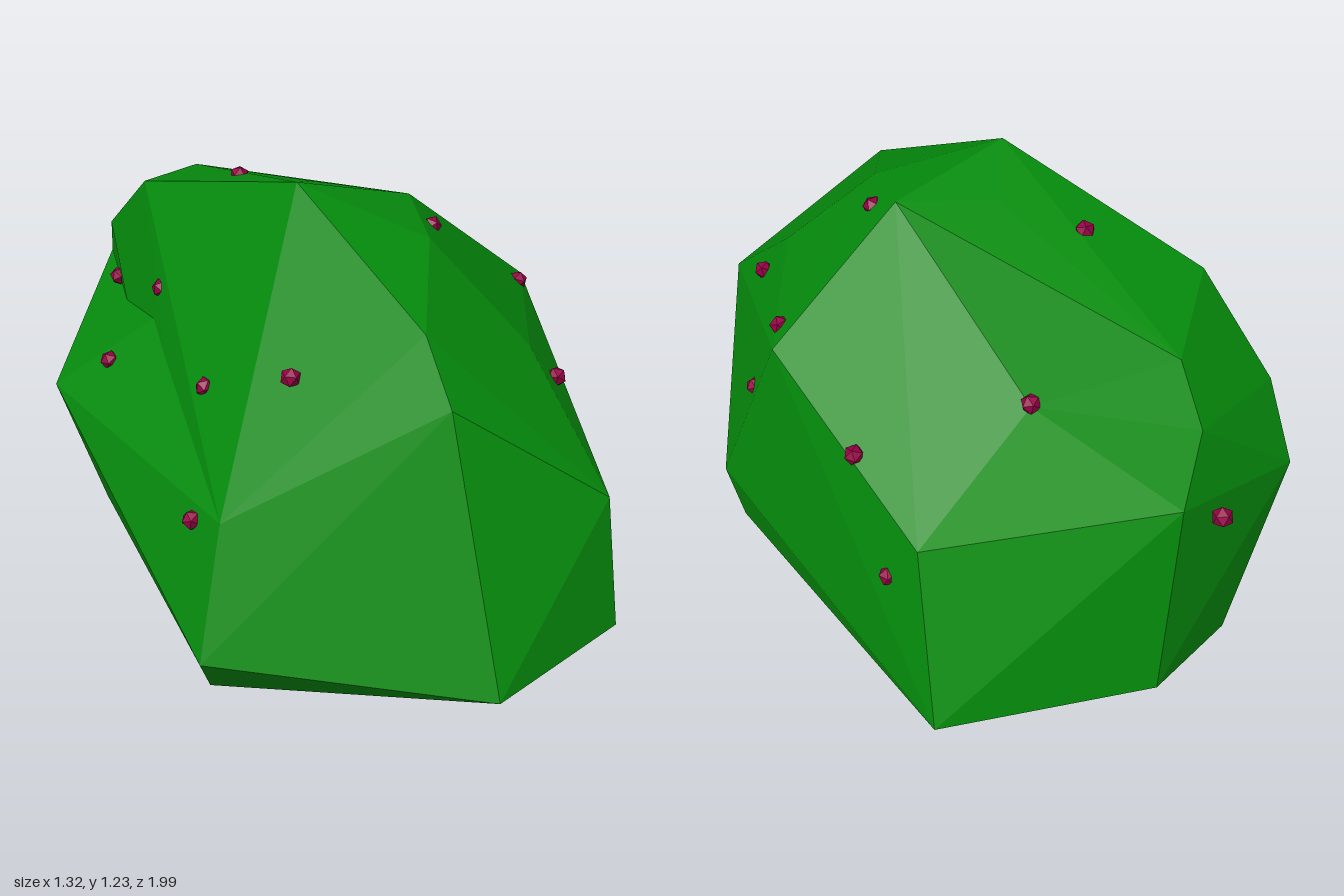
import * as THREE from 'three';
import { ConvexGeometry } from 'three/addons/geometries/ConvexGeometry.js';

const P = (x, y, z) => new THREE.Vector3(x, y, z);

// Corners shared by neighbouring lumps
const apex = P(-0.145, 1.225, 0.08), shoulderTop = P(0.19, 1.145, 0.1), brow = P(0.1, 1.1, 0.32);
const frontRidge = P(-0.14, 0.85, 0.75), frontCorner = P(0.24, 0.58, 0.89), frontCheek = P(0.26, 0.85, 0.54);
const toeRight = P(-0.16, 0.2, 1.0), toeLeft = P(0.24, 0.25, 0.95);
const sideRight = P(-0.56, 0.51, 0.39), footRight = P(-0.66, 0.17, 0.45);
const dentRight = P(-0.38, 0.79, -0.28), backRight = P(-0.21, 0.76, -0.94);
const pocket = P(0.2, 0.83, -0.46), backLeft = P(0.15, 0.8, -0.94), ledge = P(0.58, 0.6, -0.5);
const sideLeft = P(0.64, 0.33, 0.34), footLeft = P(0.59, 0.125, 0.35), heelLeft = P(0.655, 0.16, -0.655);
const ridgeRight = P(-0.27, 1.09, -0.55), napeRight = P(-0.27, 0.9, -0.8), ridgeLeft = P(0, 1.05, -0.75);

// The bush is four overlapping faceted lumps; the dents lie where they meet
const lumps = {
  // tall crown with a steep wall above the pocket
  crown: [
    apex, shoulderTop, brow, frontRidge, frontCorner, frontCheek, toeRight, toeLeft,
    sideRight, footRight, dentRight, backRight, pocket, ridgeRight, napeRight, ridgeLeft,
    P(-0.11, 0.98, 0.6), P(0, 1.165, -0.08),
  ],
  // back of the crown, behind the pocket
  nape: [ridgeLeft, ridgeRight, napeRight, backRight, backLeft, pocket, P(0.06, 0.96, -0.89)],
  // left shoulder in front of the pocket
  shoulder: [
    shoulderTop, brow, frontRidge, frontCorner, frontCheek, toeLeft, pocket, ledge,
    sideLeft, footLeft, heelLeft, P(0.58, 0.85, 0.11),
  ],
  // wide base that tapers to the ground
  base: [
    frontCorner, toeRight, toeLeft, sideRight, footRight, dentRight, backRight, pocket,
    backLeft, ledge, sideLeft, footLeft, heelLeft,
    P(-0.605, 0.555, -0.5), P(-0.46, 0.27, -0.56), P(-0.44, 0.11, -0.57), P(-0.6, 0.05, 0.385),
    P(0.19, 0.47, -0.945), P(0.21, 0.28, -0.967), P(-0.04, 0.31, -0.94),
    P(-0.17, 0, 0.58), P(0.26, 0, -0.51),
  ],
};

// Berry centres on the leaf surface
const berrySpots = [
  P(0.19, 1.085, 0.205), P(0.515, 0.86, 0.177), P(0.33, 0.757, 0.57), P(0.572, 0.655, 0.235),
  P(0.05, 0.75, -0.97), P(-0.1, 1.142, -0.3), P(0.57, 0.72, -0.23), P(0.2, 0.84, -0.46),
  P(0.605, 0.47, -0.41), P(-0.337, 0.835, 0.36), P(-0.437, 0.735, 0.1), P(-0.5, 0.66, -0.35),
  P(-0.58, 0.475, 0.28), P(-0.31, 0.77, -0.68), P(-0.36, 0.865, -0.29), P(-0.08, 0.615, 0.82),
];

export function createModel() {
  const model = new THREE.Group();
  model.name = 'berryBush';

  const leafMaterial = new THREE.MeshStandardMaterial({ color: 0x058a0c, flatShading: true });
  const foliage = new THREE.Group();
  foliage.name = 'foliage';
  for (const [name, corners] of Object.entries(lumps)) {
    const lump = new THREE.Mesh(new ConvexGeometry(corners), leafMaterial);
    lump.name = name;
    foliage.add(lump);
  }
  model.add(foliage);

  const berryMaterial = new THREE.MeshStandardMaterial({ color: 0x960045, flatShading: true });
  const berryGeometry = new THREE.IcosahedronGeometry(0.027, 0);
  const berries = new THREE.Group();
  berries.name = 'berries';
  berrySpots.forEach((spot, i) => {
    const berry = new THREE.Mesh(berryGeometry, berryMaterial);
    berry.name = 'berry';
    berry.position.copy(spot);
    berry.rotation.set(i * 1.3, i * 2.1, i * 0.7);
    berries.add(berry);
  });
  model.add(berries);

  return model;
}
